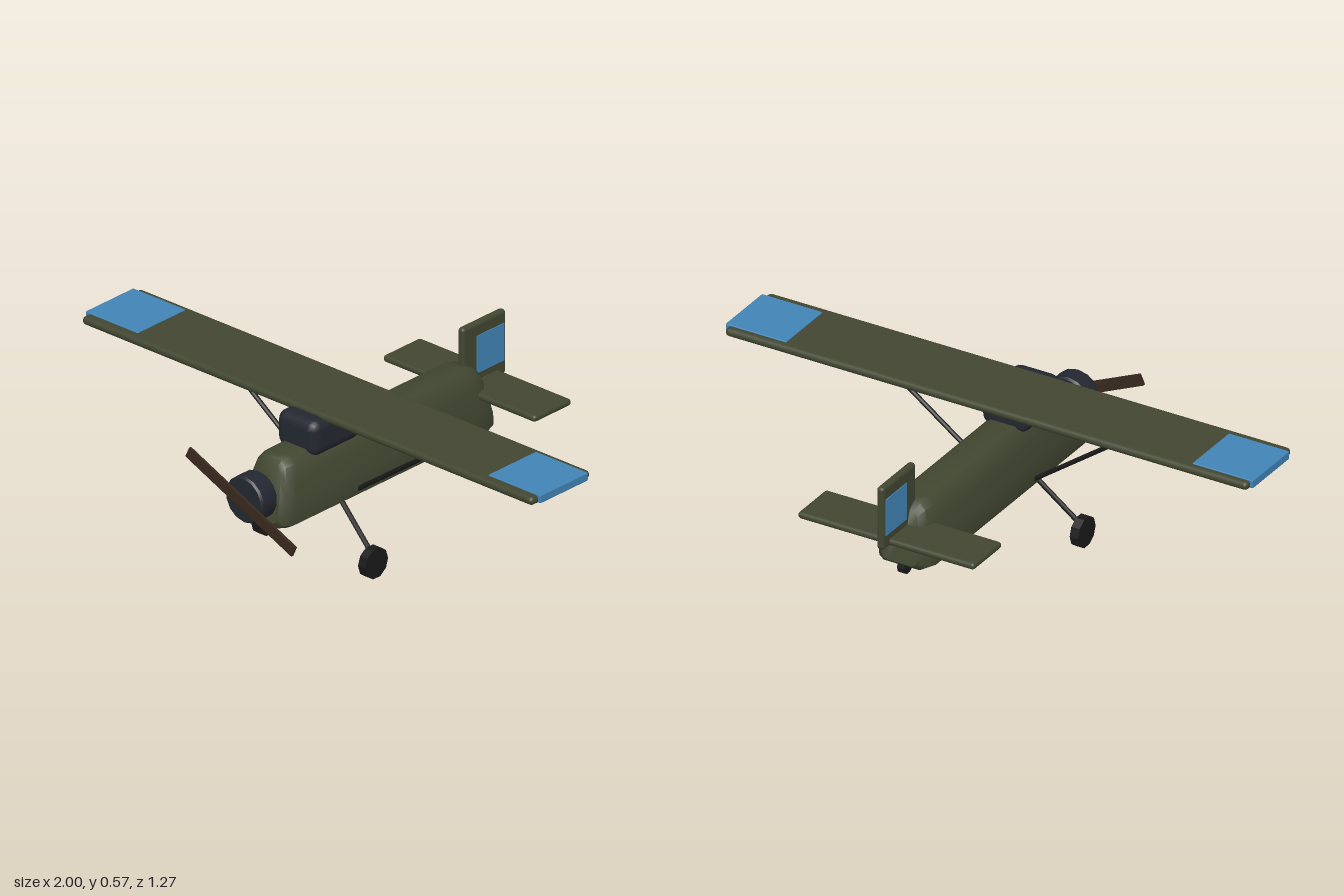
import * as THREE from 'three';
import { toCreasedNormals } from 'three/addons/utils/BufferGeometryUtils.js';
import { RoundedBoxGeometry } from 'three/addons/geometries/RoundedBoxGeometry.js';

const paint = (color) => new THREE.MeshStandardMaterial({ color });
const green = paint(0x414630), blue = paint(0x4183b5), glass = paint(0x232730);
const black = paint(0x1a1a1a), wood = paint(0x38281e);

export function createModel() {
  const model = new THREE.Group();

  const add = (name, geometry, material, x = 0, y = 0, z = 0) => {
    const mesh = new THREE.Mesh(geometry, material);
    mesh.name = name;
    mesh.position.set(x, y, z);
    model.add(mesh);
    return mesh;
  };
  const slab = (w, h, d, r) => new RoundedBoxGeometry(w, h, d, 2, r);
  const rod = (name, from, to, radius) => {
    const a = new THREE.Vector3(...from), b = new THREE.Vector3(...to);
    const dir = b.clone().sub(a);
    const mesh = add(name, new THREE.CylinderGeometry(radius, radius, dir.length(), 8), black);
    mesh.position.copy(a).add(b).multiplyScalar(0.5);
    mesh.quaternion.setFromUnitVectors(new THREE.Vector3(0, 1, 0), dir.normalize());
  };
  const wheel = (name, radius, width, x, y, z) => {
    const geometry = new THREE.CylinderGeometry(radius, radius, width, 10).rotateZ(Math.PI / 2);
    add(name, toCreasedNormals(geometry, 0.5), black, x, y, z);
  };

  add('fuselage', fuselageGeometry(), green);

  // Engine cowl with softened rims, and the two-bladed propeller
  const cowl = [[0, -0.038], [0.077, -0.038], [0.083, -0.03], [0.083, 0.03], [0.077, 0.038], [0, 0.038]]
    .map(([r, y]) => new THREE.Vector2(r, y));
  add('engineCowl', toCreasedNormals(new THREE.LatheGeometry(cowl, 14).rotateX(Math.PI / 2), 0.6), glass, 0, 0.333, 0.577);
  add('propeller', new THREE.BoxGeometry(0.51, 0.04, 0.01), wood, 0, 0.333, 0.627).rotation.z = -0.42;

  add('canopy', slab(0.176, 0.13, 0.235, 0.035), glass, 0, 0.48, 0.2525);

  // Wing and tail surfaces
  add('wing', slab(1.98, 0.03, 0.285, 0.0145), green, 0, 0.544, 0.171);
  add('tailplane', slab(0.67, 0.025, 0.18, 0.012), green, 0, 0.358, -0.508);
  add('fin', slab(0.028, 0.232, 0.208, 0.012), green, 0, 0.459, -0.53);
  add('rudderPanel', new THREE.BoxGeometry(0.034, 0.135, 0.13), blue, 0, 0.4625, -0.555);

  for (const [side, s] of [['left', 1], ['right', -1]]) {
    add(side + 'WingTip', slab(0.23, 0.03, 0.23, 0.004), blue, s * 0.885, 0.548, 0.167);
    rod(side + 'WingStrut', [s * 0.095, 0.245, 0.172], [s * 0.495, 0.535, 0.172], 0.008);
    rod(side + 'GearLeg', [s * 0.06, 0.23, 0.225], [s * 0.235, 0.075, 0.248], 0.009);
    wheel(side + 'Wheel', 0.055, 0.032, s * 0.235, 0.056, 0.25);
  }
  wheel('tailWheel', 0.03, 0.025, 0, 0.214, -0.475);

  return model;
}

// Body lofted through cross-sections from nose to tail, with slanted ends
function fuselageGeometry() {
  const half = [[0.078, 0.215], [0.1, 0.228], [0.105, 0.25], [0.098, 0.31], [0.084, 0.38], [0.07, 0.425], [0.045, 0.445]];
  const ring = [...half, ...half.map(([x, y]) => [-x, y]).reverse()];
  const middle = 0.325, n = ring.length;
  // Each station: z at the bottom, z at the top, width scale, height scale
  const stations = [
    [0.54, 0.49, 0.7, 0.8], [0.525, 0.475, 0.87, 0.94], [0.49, 0.435, 1, 1],
    [-0.45, -0.4, 1, 1], [-0.495, -0.445, 0.87, 0.94], [-0.515, -0.47, 0.65, 0.78],
  ];
  const points = [], index = [];
  for (const [zBottom, zTop, sx, sy] of stations) {
    for (const [x, y] of ring) {
      points.push(x * sx, middle + (y - middle) * sy, THREE.MathUtils.lerp(zBottom, zTop, (y - 0.215) / 0.23));
    }
  }
  for (let i = 0; i < stations.length - 1; i++) {
    for (let j = 0; j < n; j++) {
      const a = i * n + j, b = i * n + (j + 1) % n;
      index.push(a, a + n, b, b, a + n, b + n);
    }
  }
  // Flat caps on the nose and tail
  const last = (stations.length - 1) * n;
  for (let j = 1; j < n - 1; j++) index.push(0, j, j + 1, last, last + j + 1, last + j);

  const geometry = new THREE.BufferGeometry();
  geometry.setAttribute('position', new THREE.Float32BufferAttribute(points, 3));
  geometry.setIndex(index);
  return toCreasedNormals(geometry, 0.7);
}
